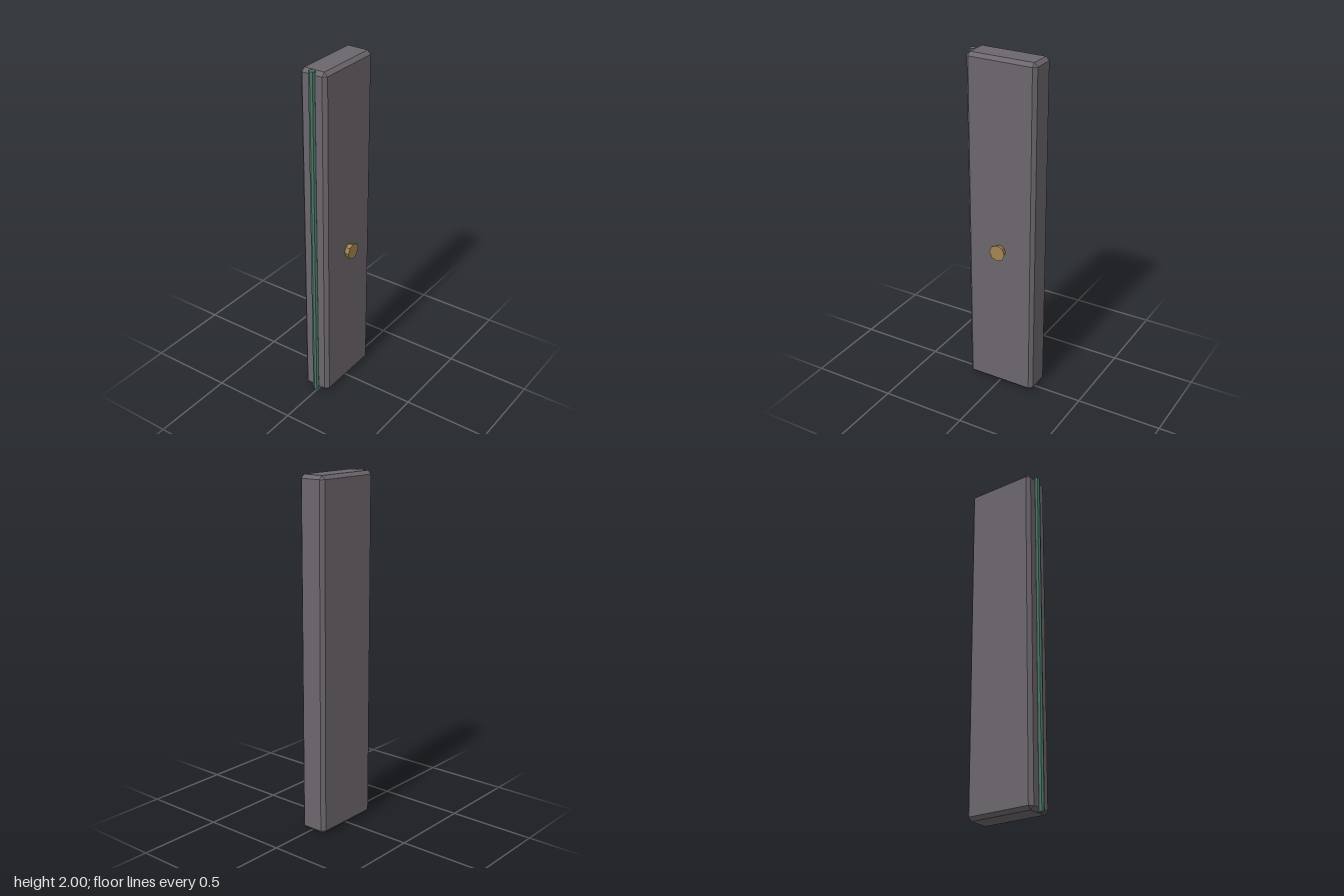
import * as THREE from 'three';
import { ConvexGeometry } from 'three/addons/geometries/ConvexGeometry.js';

// Box with every edge cut by a flat bevel
function bevelledBox(w, h, d, b) {
  const points = [];
  for (const x of [-1, 1]) for (const y of [-1, 1]) for (const z of [-1, 1]) {
    const [X, Y, Z] = [x * w / 2, y * h / 2, z * d / 2];
    points.push(
      new THREE.Vector3(X, Y - y * b, Z - z * b),
      new THREE.Vector3(X - x * b, Y, Z - z * b),
      new THREE.Vector3(X - x * b, Y - y * b, Z));
  }
  return new ConvexGeometry(points);
}

function material(name, color) {
  const m = new THREE.MeshStandardMaterial({ color, flatShading: true });
  m.name = name;
  return m;
}

export function createModel() {
  const model = new THREE.Group();
  model.name = 'door';

  const add = (name, geometry, mat, x, y, z) => {
    const mesh = new THREE.Mesh(geometry, mat);
    mesh.name = name;
    mesh.position.set(x, y, z);
    model.add(mesh);
  };

  // Door slab
  add('doorPanel', bevelledBox(0.42, 2, 0.163, 0.02),
    material('greyPaint', 0x6c666d), 0.009, 1, -0.0175);

  // Hinge rod along one edge
  add('hingeRod', new THREE.CylinderGeometry(0.0185, 0.0185, 2, 8),
    material('greenMetal', 0x4c7565), -0.202, 1, -0.017);

  // Flared knob, wide end facing forward
  const knob = new THREE.CylinderGeometry(0.048, 0.036, 0.037, 8);
  knob.rotateX(Math.PI / 2);
  add('knob', knob, material('brass', 0xa48552), 0.008, 0.887, 0.0785);

  return model;
}
